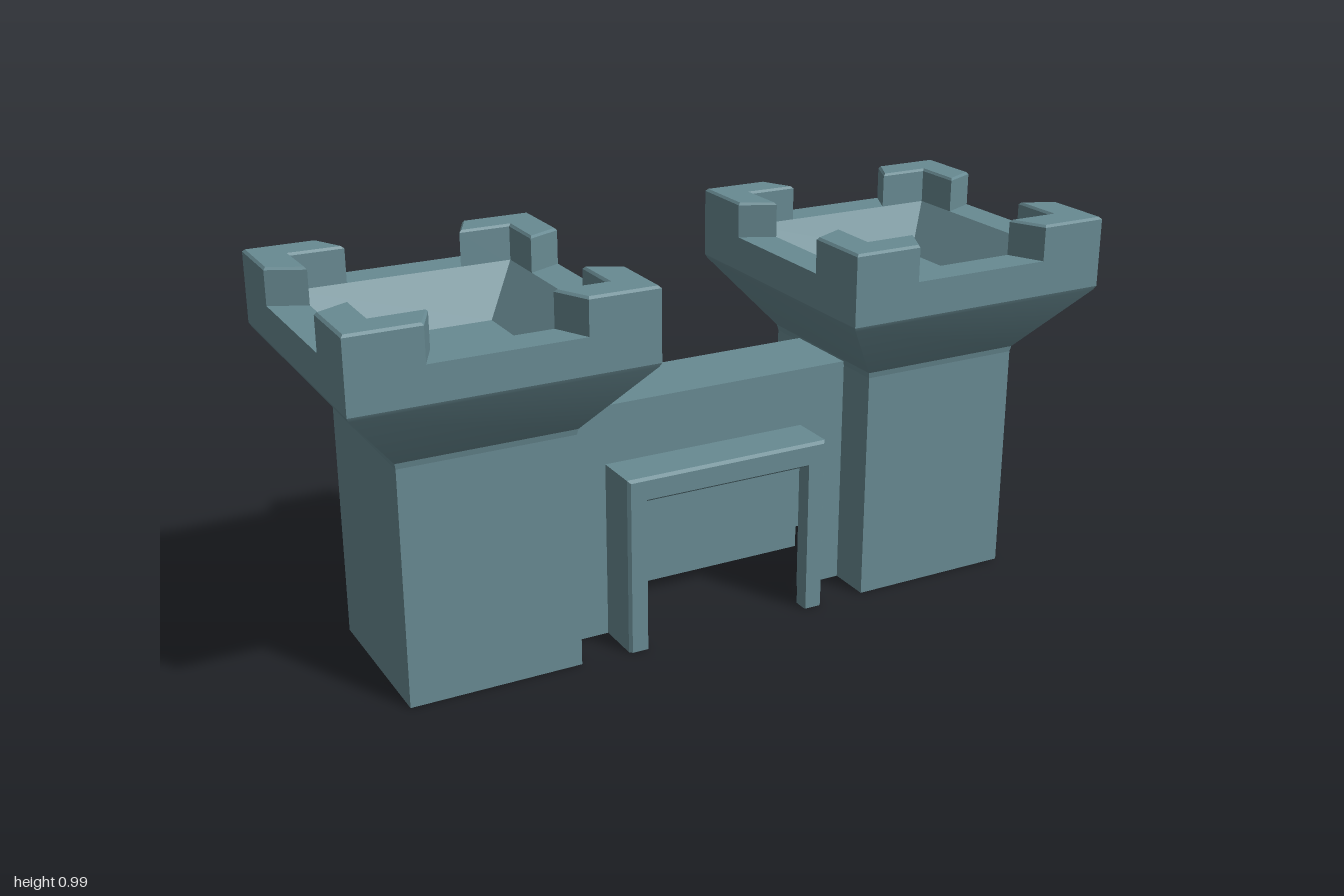
import * as THREE from 'three';
import { toCreasedNormals } from 'three/addons/utils/BufferGeometryUtils.js';

const stone = new THREE.MeshStandardMaterial({ color: 0x688a92, side: THREE.DoubleSide });
stone.name = 'blue grey stone';

function part(name, geometry, parent) {
  const mesh = new THREE.Mesh(toCreasedNormals(geometry, 0.4), stone);
  mesh.name = name;
  parent.add(mesh);
  return mesh;
}

// Open shell through a row of cross-sections, each a list of [x, y, z]
function loft(rows) {
  const n = rows[0].length, index = [];
  for (let r = 0; r < rows.length - 1; r++) {
    for (let i = 0; i < n - 1; i++) {
      const a = r * n + i, b = a + n;
      index.push(a, a + 1, b + 1, a, b + 1, b);
    }
  }
  const g = new THREE.BufferGeometry();
  g.setAttribute('position', new THREE.Float32BufferAttribute(rows.flat(2), 3));
  g.setIndex(index);
  return g;
}

const TOWER_X = 0.63, TOP = 0.985, RIM = 0.893, WALL_TOP = 0.615;
const BACK = -0.11, FRONT = 0.105;

function battlement() {
  const group = new THREE.Group();
  group.name = 'battlement';
  // Flared square bowl: half width and height
  const profile = [
    [0.222, WALL_TOP - 0.01], [0.225, WALL_TOP + 0.005], [0.365, 0.793], [0.37, 0.803],
    [0.37, RIM], [0.28, RIM], [0.185, 0.775], [0.0001, 0.775],
  ].map(([h, y]) => new THREE.Vector2(h * Math.SQRT2, y));
  part('flaredTop', new THREE.LatheGeometry(profile, 4).rotateY(Math.PI / 4), group);

  // L-shaped corner merlons with slanted ends
  const outline = [
    [0.37, 0.37], [0.19, 0.37], [0.147, 0.28], [0.28, 0.28], [0.28, 0.147], [0.37, 0.19],
  ].map(([x, y]) => new THREE.Vector2(x, y));
  const bevel = 0.006, base = RIM - 0.02;
  for (let i = 0; i < 4; i++) {
    const g = new THREE.ExtrudeGeometry(new THREE.Shape(outline), {
      depth: TOP - base - 2 * bevel, bevelEnabled: true, bevelSegments: 1,
      bevelSize: bevel, bevelOffset: -bevel, bevelThickness: bevel,
    });
    g.rotateX(-Math.PI / 2).translate(0, base + bevel, 0).rotateY(i * Math.PI / 2);
    part('merlon', g, group);
  }
  return group;
}

export function createModel() {
  const model = new THREE.Group();
  model.name = 'castleGate';

  for (const s of [-1, 1]) {
    const top = battlement();
    top.position.x = s * TOWER_X;
    model.add(top);

    // Outer walls follow one hollow plan around the tower, open below
    let plan = [
      [0.28, FRONT], [0.408, FRONT], [0.408, 0.222], [0.852, 0.222],
      [0.852, -0.222], [0.408, -0.222], [0.408, BACK], [0, BACK],
    ].map(([x, z]) => [s * x, z]);
    if (s > 0) plan = plan.reverse();
    plan.reverse();
    const rows = [0, WALL_TOP].map((y) => plan.map(([x, z]) => [x, y, z]));
    if (s < 0) rows.reverse();
    part('towerWalls', loft(rows), model);
  }

  // Curtain wall above the gate and its walkway
  const w = 0.41;
  part('wallTop', loft([
    [[-w, WALL_TOP, FRONT], [w, WALL_TOP, FRONT]],
    [[-w, WALL_TOP, BACK], [w, WALL_TOP, BACK]],
  ]), model);
  part('wallAboveGate', loft([
    [[-0.28, 0.46, FRONT], [0.28, 0.46, FRONT]],
    [[-0.28, WALL_TOP, FRONT], [0.28, WALL_TOP, FRONT]],
  ]), model);

  // Gate frame: an arch-like ribbon from the wall, over the face, into the opening
  const arch = (x, y, z) => [[-x, 0, z], [-x, y, z], [x, y, z], [x, 0, z]];
  part('gateFrame', loft([
    arch(0.28, 0.462, FRONT), arch(0.28, 0.462, 0.222), arch(0.273, 0.455, 0.23),
    arch(0.23, 0.405, 0.23), arch(0.228, 0.4, 0.225), arch(0.228, 0.4, 0.19),
  ].reverse()), model);

  return model;
}
